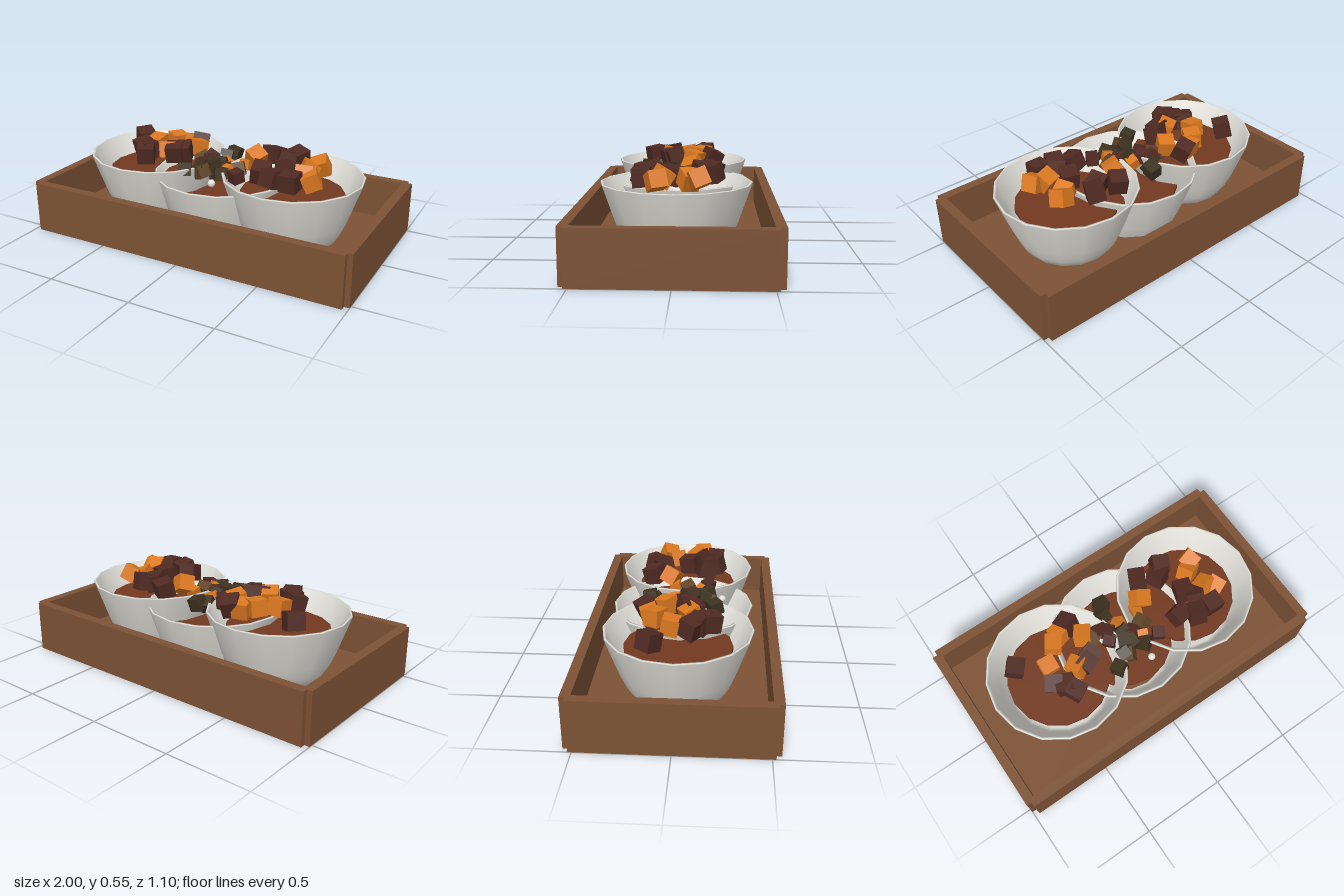
import * as THREE from 'three';

const mat = (name, color) => {
  const m = new THREE.MeshStandardMaterial({ color });
  m.name = name;
  return m;
};

export function createModel() {
  const model = new THREE.Group();
  model.name = 'servingTray';
  const wood = mat('wood', 0x7d5235);
  const ceramic = mat('ceramic', 0xe8e6df);
  const broth = mat('broth', 0x73391f);
  const meat = mat('meat', 0x502a23);
  const carrot = mat('carrot', 0xda7820);
  const herb = mat('herb', 0x3d3220);
  const mushroom = mat('mushroom', 0x604629);

  const add = (parent, name, geo, material, x, y, z) => {
    const mesh = new THREE.Mesh(geo, material);
    mesh.name = name;
    mesh.position.set(x, y, z);
    parent.add(mesh);
    return mesh;
  };

  // Tray: floor, long walls set slightly outside the short walls
  const tray = new THREE.Group();
  tray.name = 'tray';
  model.add(tray);
  add(tray, 'trayFloor', new THREE.BoxGeometry(1.94, 0.06, 1.04), wood, 0, 0.03, 0);
  for (const s of [-1, 1]) {
    add(tray, 'longWall', new THREE.BoxGeometry(1.94, 0.3, 0.055), wood, 0, 0.15, s * 0.5225);
    add(tray, 'shortWall', new THREE.BoxGeometry(0.055, 0.3, 1.04), wood, s * 0.9725, 0.15, 0);
  }

  // Bowl profile: outside from the base up, over the rim, down the inside
  const profile = [
    [0, 0.003], [0.26, 0.003], [0.295, 0.06], [0.33, 0.14], [0.365, 0.24], [0.41, 0.37],
    [0.406, 0.375], [0.394, 0.375], [0.345, 0.24], [0.31, 0.14], [0.27, 0.06], [0, 0.03],
  ].map(([r, y]) => new THREE.Vector2(r, y));
  const bowlGeo = new THREE.LatheGeometry(profile, 16);
  const brothGeo = new THREE.CylinderGeometry(0.3, 0.3, 0.02, 16);

  const bowls = [['rightBowl', -0.45, 0.06], ['middleBowl', 0, 0], ['leftBowl', 0.45, 0.06]];
  for (const [name, x, y] of bowls) {
    const bowl = new THREE.Group();
    bowl.name = name;
    bowl.position.set(x, y, 0);
    model.add(bowl);
    add(bowl, 'bowlShell', bowlGeo, ceramic, 0, 0, 0);
    add(bowl, 'brothSurface', brothGeo, broth, 0, 0.26, 0);
  }

  // Seeded tumbling for the chopped pieces
  let seed = 7;
  const rand = () => (seed = (seed * 16807) % 2147483647) / 2147483647;
  const scatter = (name, material, size, y, spots) => {
    const geo = new THREE.BoxGeometry(size, size, size);
    for (const [x, z] of spots) {
      const piece = add(model, name, geo, material, x, y + (rand() - 0.5) * 0.02, z);
      piece.rotation.set(rand() * 0.9 - 0.45, rand() * 3, rand() * 0.9 - 0.45);
    }
  };

  // Pieces in the outer bowls
  scatter('meatCube', meat, 0.1, 0.462, [
    [-0.64, -0.14], [-0.51, 0.07], [-0.43, 0.17], [-0.46, 0.11], [-0.26, -0.19], [-0.25, 0.04], [-0.29, 0.07],
    [0.4, -0.19], [0.35, -0.14], [0.42, 0.02], [0.31, 0.13], [0.4, 0.18], [0.46, 0.09], [0.51, 0.18], [0.24, -0.19],
  ]);
  scatter('carrotCube', carrot, 0.095, 0.462, [
    [-0.32, -0.17], [-0.39, -0.13], [-0.48, -0.04], [-0.35, 0.06], [-0.22, -0.08],
    [0.57, -0.12], [0.52, -0.07], [0.54, 0.07], [0.6, 0.1], [0.18, -0.08],
  ]);

  // Smaller pieces in the middle bowl
  scatter('herbPiece', herb, 0.075, 0.42, [
    [-0.02, -0.19], [-0.05, -0.14], [-0.15, 0.19], [-0.03, 0.07], [0.01, 0.1], [-0.07, 0.13], [-0.01, 0.01], [0.06, 0.14],
  ]);
  scatter('mushroomPiece', mushroom, 0.075, 0.42, [[-0.18, -0.05], [0.12, 0.03], [-0.06, 0.15]]);
  scatter('smallMeat', meat, 0.07, 0.41, [[-0.12, -0.07], [-0.1, 0.02], [-0.08, -0.03], [0.16, 0.14], [0.04, 0.05]]);
  scatter('smallCarrot', carrot, 0.06, 0.42, [[0, -0.04], [0.08, 0.1], [0.13, -0.05]]);

  // Round garnish
  add(model, 'garnish', new THREE.SphereGeometry(0.022, 10, 8), ceramic, 0.05, 0.385, 0.23);

  return model;
}
